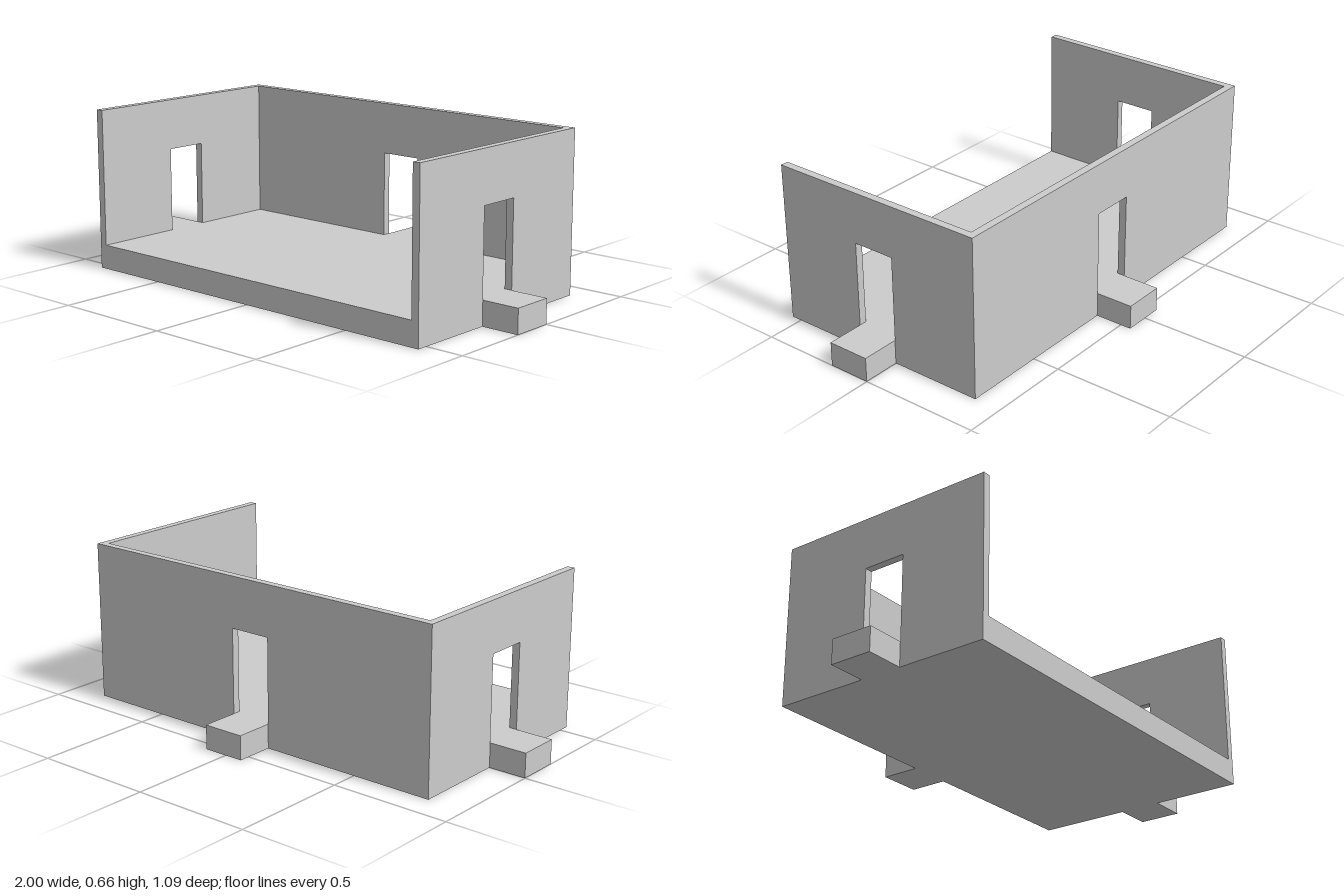
import * as THREE from 'three';

const material = new THREE.MeshStandardMaterial({ color: 0xcccccc, flatShading: true });

const FLOOR = 0.1, TOP = 0.66, DOOR_TOP = 0.45;
const HALF_W = 0.842, BACK = -0.387, FRONT = 0.545, WALL = 0.032;
const SIDE_DOOR = [0, 0.177];
const BACK_DOOR = [-0.078, 0.1];

function extrude(name, points, depth) {
  const shape = new THREE.Shape(points.map(([x, y]) => new THREE.Vector2(x, y)));
  const geometry = new THREE.ExtrudeGeometry(shape, { depth, bevelEnabled: false });
  const mesh = new THREE.Mesh(geometry, material);
  mesh.name = name;
  return mesh;
}

// Wall outline from a to b, with a doorway open down to the floor
function wall(name, a, b, [d0, d1]) {
  return extrude(name, [
    [a, FLOOR], [d0, FLOOR], [d0, DOOR_TOP], [d1, DOOR_TOP], [d1, FLOOR],
    [b, FLOOR], [b, TOP], [a, TOP],
  ], WALL);
}

export function createModel() {
  const group = new THREE.Group();
  group.name = 'openRoom';

  // Floor slab with a doorstep at each doorway, drawn in plan (x, z)
  const [s0, s1] = SIDE_DOOR, [b0, b1] = BACK_DOOR;
  const floor = extrude('floorWithSteps', [
    [-HALF_W, BACK], [b0, BACK], [b0, -0.545], [b1, -0.545], [b1, BACK], [HALF_W, BACK],
    [HALF_W, s0], [1, s0], [1, s1], [HALF_W, s1], [HALF_W, FRONT],
    [-HALF_W, FRONT], [-HALF_W, s1], [-1, s1], [-1, s0], [-HALF_W, s0],
  ], FLOOR);
  floor.rotation.x = Math.PI / 2;
  floor.position.y = FLOOR;
  group.add(floor);

  // Back wall between the side walls
  const back = wall('backWall', -HALF_W + WALL, HALF_W - WALL, BACK_DOOR);
  back.position.z = BACK;
  group.add(back);

  // Side walls: outline runs along -z, extruded along x
  for (const [name, x] of [['leftWall', HALF_W - WALL], ['rightWall', -HALF_W]]) {
    const side = wall(name, -FRONT, -BACK, [-s1, -s0]);
    side.rotation.y = Math.PI / 2;
    side.position.x = x;
    group.add(side);
  }

  return group;
}
